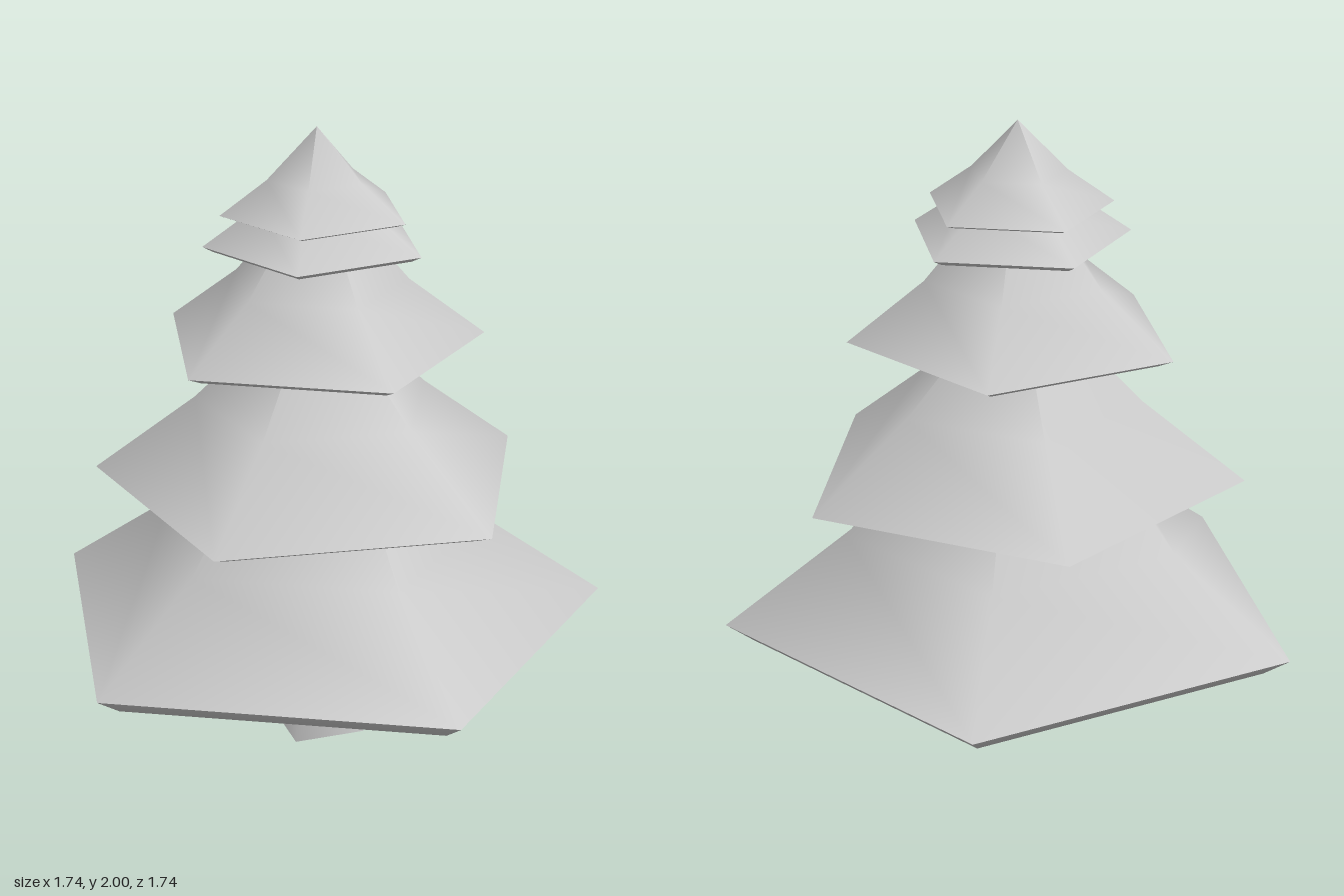
import * as THREE from 'three';

const grey = new THREE.MeshStandardMaterial({ color: 0xcccccc });

// Five-sided smooth lathe; profile runs from bottom to top as [radius, y]
function pentagonLathe(name, profile, cornerDegrees) {
  const points = profile.map(([r, y]) => new THREE.Vector2(r, y));
  const start = THREE.MathUtils.degToRad(90 - cornerDegrees);
  const mesh = new THREE.Mesh(new THREE.LatheGeometry(points, 5, start), grey);
  mesh.name = name;
  return mesh;
}

// One tier of branches: flared skirt above the sharp rim, bevelled base below it
function branchTier(name, t) {
  const tier = new THREE.Group();
  tier.name = name;
  tier.add(
    pentagonLathe('skirt', [[t.rim, t.rimY], [t.mid, t.midY], [0, t.tipY]], t.corner),
    pentagonLathe('underside', [[0, t.baseY], [t.base, t.baseY], [t.rim, t.rimY]], t.corner)
  );
  return tier;
}

export function createModel() {
  const tree = new THREE.Group();
  tree.name = 'pineTree';

  // Square tapered trunk
  const height = 0.6;
  const trunkGeometry = new THREE.CylinderGeometry(0.09, 0.163, height, 4);
  trunkGeometry.rotateY(Math.PI / 4).translate(0, height / 2, 0);
  const trunk = new THREE.Mesh(trunkGeometry, grey);
  trunk.name = 'trunk';
  tree.add(trunk);

  // Branch tiers from bottom to top, each turned differently
  const tiers = [
    { corner: 9.7, base: 0.842, baseY: 0.35, rim: 0.927, rimY: 0.41, mid: 0.54, midY: 0.69, tipY: 1.36 },
    { corner: -10.4, base: 0.645, baseY: 0.84, rim: 0.711, rimY: 0.867, mid: 0.387, midY: 1.12, tipY: 1.51 },
    { corner: 11.3, base: 0.475, baseY: 1.303, rim: 0.523, rimY: 1.325, mid: 0.285, midY: 1.51, tipY: 1.85 },
    { corner: -26, base: 0.319, baseY: 1.623, rim: 0.351, rimY: 1.64, mid: 0.18, midY: 1.76, tipY: 1.95 },
    { corner: -26, base: 0.27, baseY: 1.725, rim: 0.297, rimY: 1.735, mid: 0.153, midY: 1.84, tipY: 2.0 },
  ];
  tiers.forEach((t, i) => tree.add(branchTier(`branchTier${i + 1}`, t)));

  // Shift the trunk axis so the lopsided lowest tier is centred
  tree.position.set(-0.044, 0, -0.051);
  const model = new THREE.Group();
  model.name = 'model';
  model.add(tree);
  return model;
}
